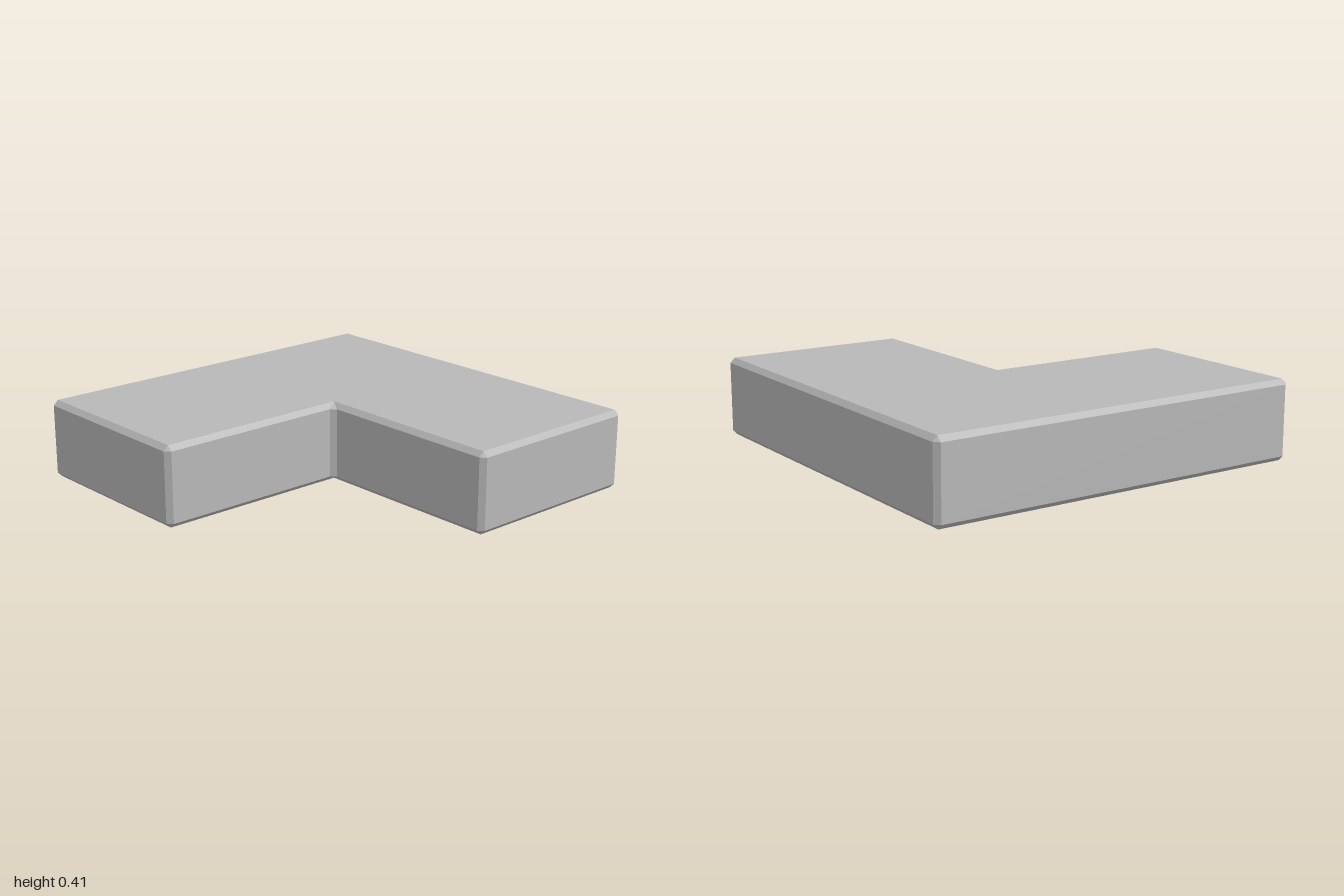
import * as THREE from 'three';

const HEIGHT = 0.405, BEVEL = 0.025, NOTCH = -0.015, WALL = 0.15, CEILING = 0.28;

// L outline moved inwards by d, counterclockwise from above, as [x, z]
function outline(d) {
  const o = 1 - d, n = NOTCH - d;
  return [[-o, -o], [-o, o], [n, o], [n, n], [o, n], [o, -o]];
}

// Cut every corner of a loop into two points at distance c from it
function cutCorners(loop, c) {
  return loop.flatMap((p, i) => {
    const towards = (q) => {
      const k = c / Math.hypot(q[0] - p[0], q[1] - p[1]);
      return [p[0] + (q[0] - p[0]) * k, p[1] + (q[1] - p[1]) * k];
    };
    return [towards(loop.at(i - 1)), towards(loop[(i + 1) % loop.length])];
  });
}

const doubled = (loop) => loop.flatMap((p) => [p, p]);

// Flat-sided band between two loops with equal point counts
function band(a, ya, b, yb) {
  const pos = [];
  a.forEach((p, i) => {
    const j = (i + 1) % a.length;
    const A = [p[0], ya, p[1]], A2 = [a[j][0], ya, a[j][1]];
    const B = [b[i][0], yb, b[i][1]], B2 = [b[j][0], yb, b[j][1]];
    if (p !== a[j]) pos.push(...A, ...A2, ...B2);
    if (b[i] !== b[j]) pos.push(...A, ...B2, ...B);
  });
  const g = new THREE.BufferGeometry();
  g.setAttribute('position', new THREE.Float32BufferAttribute(pos, 3));
  g.computeVertexNormals();
  return g;
}

// Flat horizontal face, up or down, with an optional hole
function face(loop, y, up, hole) {
  const s = up ? -1 : 1;
  const points = (l) => l.map(([x, z]) => new THREE.Vector2(x, z * s));
  const shape = new THREE.Shape(points(loop));
  if (hole) shape.holes.push(new THREE.Path(points(hole)));
  return new THREE.ShapeGeometry(shape).rotateX(s * Math.PI / 2).translate(0, y, 0);
}

export function createModel() {
  const group = new THREE.Group();
  group.name = 'cornerTile';
  const grey = new THREE.MeshStandardMaterial({ color: 0xb8b8b8 });
  grey.name = 'grey';
  const add = (name, geometry) => {
    const mesh = new THREE.Mesh(geometry, grey);
    mesh.name = name;
    group.add(mesh);
  };

  const side = cutCorners(outline(0), BEVEL);
  const flat = outline(BEVEL);
  const edge = doubled(flat);
  const inner = outline(WALL);

  // Outer shell
  add('topFace', face(flat, HEIGHT, true));
  add('topBevel', band(side, HEIGHT - BEVEL, edge, HEIGHT));
  add('sideWalls', band(side, BEVEL, side, HEIGHT - BEVEL));
  add('bottomBevel', band(edge, 0, side, BEVEL));

  // Hollow underside
  add('bottomRim', face(flat, 0, false, inner));
  add('recessWalls', band(inner, CEILING, inner, 0));
  add('recessCeiling', face(inner, CEILING, false));
  return group;
}
